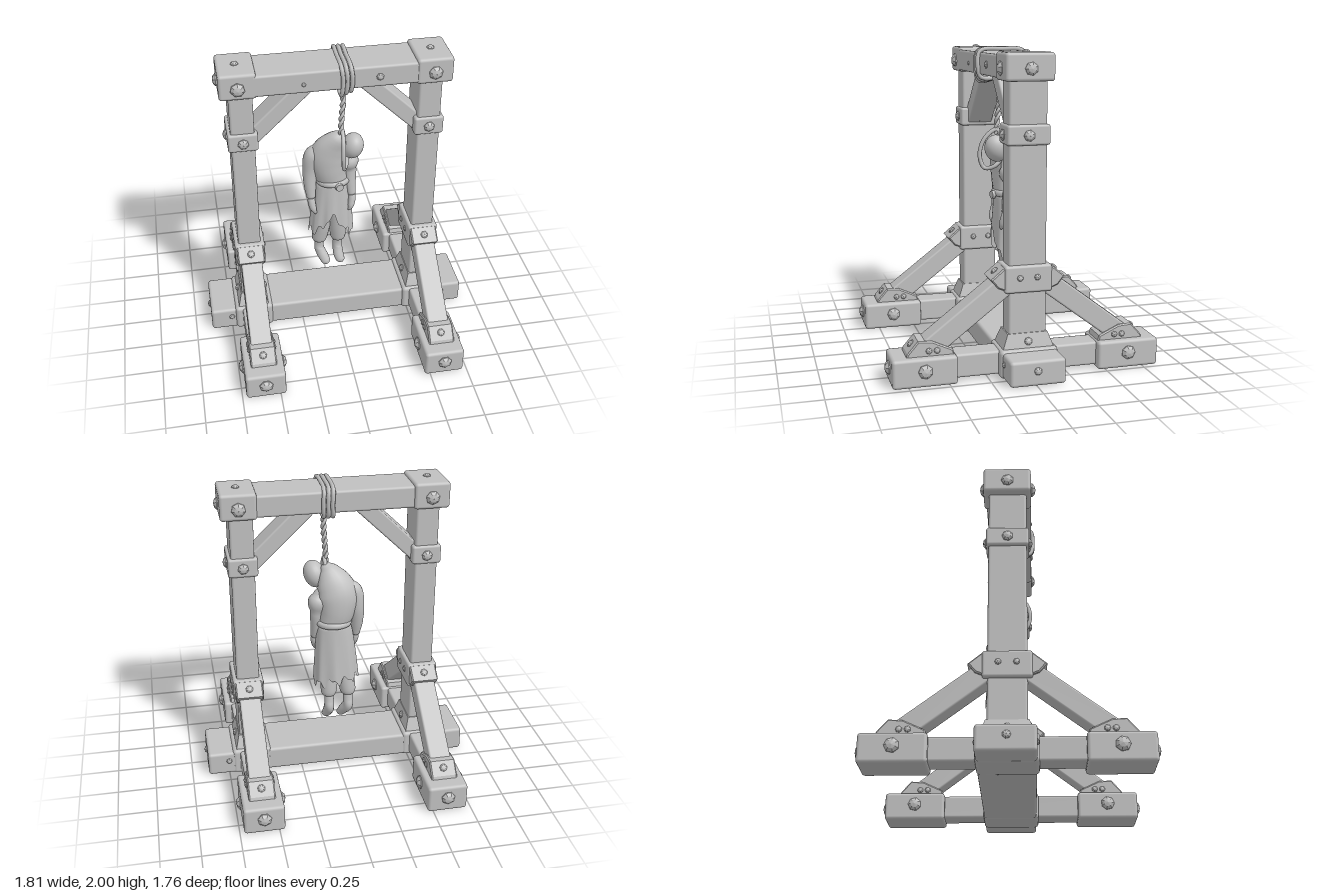
import * as THREE from 'three';
import { RoundedBoxGeometry } from 'three/addons/geometries/RoundedBoxGeometry.js';
import { ParametricGeometry } from 'three/addons/geometries/ParametricGeometry.js';

const grey = new THREE.MeshStandardMaterial({ color: 0xc0c0c0, side: THREE.DoubleSide });
const V = (x, y, z) => new THREE.Vector3(x, y, z);

function add(parent, name, geometry, x = 0, y = 0, z = 0) {
  const mesh = new THREE.Mesh(geometry, grey);
  mesh.name = name;
  mesh.position.set(x, y, z);
  parent.add(mesh);
  return mesh;
}

// Softly bevelled block given by its extents
function block(parent, name, x0, x1, y0, y1, z0, z1, bevel = 0.016) {
  const g = new RoundedBoxGeometry(x1 - x0, y1 - y0, z1 - z0, 2, bevel);
  return add(parent, name, g, (x0 + x1) / 2, (y0 + y1) / 2, (z0 + z1) / 2);
}

// Faceted bolt head pointing along a direction
function stud(parent, x, y, z, dir, r) {
  const profile = [[r, -0.006], [r, 0.15 * r], [0.6 * r, 0.5 * r], [0.001, 0.62 * r]];
  const g = new THREE.LatheGeometry(profile.map(p => new THREE.Vector2(...p)), 7).toNonIndexed();
  g.computeVertexNormals();
  add(parent, 'bolt', g, x, y, z).quaternion.setFromUnitVectors(V(0, 1, 0), dir.clone().normalize());
}

// Smooth closed body through stations [x, y, z, radiusX, radiusZ], running downwards
function loft(parent, name, stations, sides = 20, steps = 24) {
  const path = new THREE.CatmullRomCurve3(stations.map(s => V(s[0], s[1], s[2])));
  const radii = new THREE.CatmullRomCurve3(stations.map(s => V(s[3], s[4] ?? s[3], 0)));
  const pos = [], index = [];
  for (let i = 0; i <= steps; i++) {
    const k = i / steps, p = path.getPoint(k), t = path.getTangent(k), r = radii.getPoint(k);
    const a = V(1, 0, 0).addScaledVector(t, -t.x).normalize();
    const b = t.clone().cross(a);
    for (let j = 0; j < sides; j++) {
      const q = j / sides * Math.PI * 2;
      const v = p.clone().addScaledVector(a, Math.cos(q) * r.x).addScaledVector(b, Math.sin(q) * r.y);
      pos.push(v.x, v.y, v.z);
      const n = (j + 1) % sides, o = i * sides;
      if (i < steps) index.push(o + j, o + n, o + sides + j, o + n, o + sides + n, o + sides + j);
    }
  }
  const last = steps * sides, c = pos.length / 3;
  pos.push(...path.getPoint(0).toArray(), ...path.getPoint(1).toArray());
  for (let j = 0; j < sides; j++) {
    const n = (j + 1) % sides;
    index.push(c, n, j, c + 1, last + j, last + n);
  }
  const g = new THREE.BufferGeometry();
  g.setAttribute('position', new THREE.Float32BufferAttribute(pos, 3));
  g.setIndex(index);
  g.computeVertexNormals();
  return add(parent, name, g);
}

function tube(parent, name, pts, r, closed = false, steps = 60) {
  const curve = new THREE.CatmullRomCurve3(pts.map(p => V(...p)), closed);
  return add(parent, name, new THREE.TubeGeometry(curve, steps, r, 8, closed));
}

// Profile in (z, y) extruded across x
function sidePlate(parent, name, points, width) {
  const shape = new THREE.Shape(points.map(([z, y]) => new THREE.Vector2(-z, y)));
  const bevel = 0.008;
  const g = new THREE.ExtrudeGeometry(shape, { depth: width - 2 * bevel, bevelThickness: bevel, bevelSize: bevel, bevelOffset: -bevel, bevelSegments: 1 });
  g.translate(0, 0, -width / 2 + bevel).rotateY(Math.PI / 2);
  return add(parent, name, g);
}

// One half of a foot: end cap, diagonal brace and its fittings, facing +z
function makeFoot() {
  const g = new THREE.Group();
  g.name = 'foot';
  block(g, 'footCap', -0.13, 0.13, 0, 0.18, 0.45, 0.85, 0.02);
  const y0 = 0.62, z0 = 0.08, y1 = 0.2, z1 = 0.63;
  const brace = add(g, 'footBrace', new RoundedBoxGeometry(0.14, 0.13, Math.hypot(y1 - y0, z1 - z0), 2, 0.012), 0, (y0 + y1) / 2, (z0 + z1) / 2);
  brace.rotation.x = Math.atan2(y0 - y1, z1 - z0);
  sidePlate(g, 'braceShoe', [[0.46, 0.17], [0.76, 0.17], [0.75, 0.2], [0.685, 0.275], [0.6, 0.27], [0.47, 0.21]], 0.17);
  sidePlate(g, 'braceHook', [[0.1, 0.69], [0.15, 0.69], [0.235, 0.62], [0.19, 0.565], [0.1, 0.53]], 0.18);
  stud(g, 0, 0.1, 0.85, V(0, 0, 1), 0.045);
  stud(g, 0, 0.24, 0.715, V(0, 0.65, 0.75), 0.025);
  stud(g, 0, 0.657, 0.19, V(0, 0.75, 0.65), 0.025);
  for (const s of [-1, 1]) {
    stud(g, s * 0.13, 0.1, 0.65, V(s, 0, 0), 0.045);
    for (const z of [0.57, 0.62]) stud(g, s * 0.085, 0.212, z, V(s, 0, 0), 0.02);
  }
  return g;
}

// Upright with its foot beam and iron collars
function makeUpright() {
  const g = new THREE.Group();
  g.name = 'upright';
  block(g, 'post', -0.075, 0.075, 0.1, 1.88, -0.12, 0.12);
  block(g, 'footBeam', -0.08, 0.08, 0.02, 0.17, -0.6, 0.6);
  block(g, 'baseJoint', -0.13, 0.13, 0, 0.18, -0.185, 0.185, 0.025);
  const flare = new THREE.BoxGeometry(0.21, 0.1, 0.33), p = flare.attributes.position;
  for (let i = 0; i < p.count; i++) if (p.getY(i) > 0) p.setXYZ(i, p.getX(i) * 0.76, p.getY(i), p.getZ(i) * 0.77);
  flare.computeVertexNormals();
  add(g, 'postFlare', flare, 0, 0.22, 0);
  block(g, 'lowerCollar', -0.1, 0.1, 0.53, 0.7, -0.15, 0.15);
  block(g, 'upperCollar', -0.095, 0.095, 1.43, 1.555, -0.135, 0.135);
  block(g, 'beamCap', -0.1, 0.13, 1.81, 1.98, -0.15, 0.155, 0.02);
  const back = makeFoot();
  back.rotation.y = Math.PI;
  g.add(makeFoot(), back);
  for (const s of [-1, 1]) {
    stud(g, 0.015, 1.885, s * 0.152, V(0, 0, s), 0.045);
    stud(g, 0, 1.49, s * 0.135, V(0, 0, s), 0.035);
    stud(g, s * 0.095, 1.49, 0, V(s, 0, 0), 0.035);
    stud(g, s * 0.095, 0.22, 0, V(s, 0.3, 0), 0.025);
    for (const z of [-0.055, 0.055]) stud(g, s * 0.1, 0.625, z, V(s, 0, 0), 0.02);
  }
  stud(g, 0.13, 1.885, 0, V(1, 0, 0), 0.04);
  stud(g, 0.015, 1.98, 0, V(0, 1, 0), 0.025);
  return g;
}

function makeFrame() {
  const g = new THREE.Group();
  g.name = 'frame';
  block(g, 'baseBeam', -0.89, 0.89, 0.005, 0.165, -0.18, 0.17, 0.02);
  block(g, 'topBeam', -0.69, 0.7, 1.82, 1.962, -0.14, 0.15);
  for (const s of [-1, 1]) {
    const upright = makeUpright();
    upright.position.x = s * 0.593;
    if (s < 0) upright.rotation.y = Math.PI;
    g.add(upright);
    const knee = add(g, 'kneeBrace', new RoundedBoxGeometry(0.52, 0.105, 0.17, 2, 0.012), s * 0.36, 1.66, 0);
    knee.rotation.z = -s * 0.77;
    stud(g, s * 0.89, 0.1, 0, V(s, 0, 0), 0.025);
    stud(g, s * 0.75, 0.105, 0.17, V(0, 0, 1), 0.02);
    stud(g, s * 0.75, 0.105, -0.18, V(0, 0, -1), 0.02);
  }
  stud(g, 0.26, 1.89, 0.15, V(0, 0, 1), 0.024);
  stud(g, -0.21, 1.88, 0.15, V(0, 0, 1), 0.014);
  return g;
}

function makeRope() {
  const g = new THREE.Group();
  g.name = 'rope';
  // Turns around the beam
  [0.022, 0.05, 0.08].forEach((x, i) => {
    const b = 1.78 + 0.012 * i;
    tube(g, 'ropeTurn', [[x, b, 0.14], [x + 0.008, 1.88, 0.163], [x, 1.97, 0.145], [x - 0.004, 1.983, 0], [x, 1.97, -0.14], [x + 0.006, 1.88, -0.155], [x, 1.8, -0.13], [x, 1.8, 0]], 0.014, true);
  });
  // Two twisted strands
  for (const s of [0, Math.PI]) {
    const pts = [];
    for (let i = 0; i <= 40; i++) {
      const k = i / 40, q = k * 26 + s;
      pts.push([0.05 + 0.009 * Math.cos(q) + 0.008 * Math.sin(k * 5), 1.83 - 0.4 * k, 0.03 * k + 0.009 * Math.sin(q)]);
    }
    tube(g, 'ropeStrand', pts, 0.011, false, 120);
  }
  tube(g, 'ropeLoop', [[0.05, 1.46, 0.03], [0.045, 1.4, 0.11], [0.04, 1.29, 0.14], [0.05, 1.21, 0.11], [0.08, 1.23, 0.04], [0.06, 1.33, -0.02], [0.05, 1.41, -0.005]], 0.014, true);
  return g;
}

function makeFigure() {
  const g = new THREE.Group();
  g.name = 'figure';
  loft(g, 'torso', [[0.06, 1.42, 0.01, 0.02], [0.035, 1.385, 0, 0.065, 0.055], [0, 1.31, -0.03, 0.115, 0.08], [-0.025, 1.22, -0.05, 0.135, 0.095], [-0.018, 1.12, -0.055, 0.12, 0.095], [0, 1.03, -0.055, 0.105, 0.085], [0, 0.95, -0.055, 0.1, 0.08]]);
  const head = add(g, 'head', new THREE.SphereGeometry(1, 24, 16), 0.115, 1.345, 0.045);
  head.scale.set(0.07, 0.092, 0.08);
  head.rotation.set(0.4, 0, -0.25);
  // Arms and hands
  loft(g, 'arm', [[-0.08, 1.31, -0.04, 0.025], [-0.135, 1.24, -0.045, 0.055], [-0.152, 1.12, -0.05, 0.05], [-0.155, 1.0, -0.035, 0.04], [-0.15, 0.92, -0.02, 0.03]]);
  loft(g, 'arm', [[0.06, 1.28, -0.03, 0.025], [0.095, 1.22, -0.035, 0.045], [0.115, 1.12, -0.045, 0.045], [0.118, 1.0, -0.03, 0.037], [0.125, 0.92, -0.015, 0.028]]);
  for (const [x, s] of [[-0.15, 1], [0.127, -1]])
    loft(g, 'hand', [[x, 0.95, -0.02, 0.018], [x, 0.89, -0.01, 0.026, 0.03], [x + s * 0.01, 0.84, 0.005, 0.022, 0.026], [x + s * 0.025, 0.805, 0.012, 0.008]], 12, 12);
  // Belt and buckle
  const belt = add(g, 'belt', new THREE.TorusGeometry(0.102, 0.018, 8, 32).rotateX(Math.PI / 2), 0.003, 1.035, -0.055);
  belt.scale.set(1, 1.2, 0.86);
  const buckle = add(g, 'buckle', new THREE.CylinderGeometry(0.026, 0.028, 0.02, 14).rotateX(Math.PI / 2), 0.03, 1.025, 0.05);
  buckle.rotation.y = 0.2;
  // Torn coat skirt, split at the front
  add(g, 'coatSkirt', new ParametricGeometry((u, v, out) => {
    const q = u * Math.PI * 2, front = Math.max(0, Math.sin(q)) ** 6;
    const hem = 0.63 + 0.14 * front + 0.025 * Math.sin(9 * q) + 0.015 * Math.sin(17 * q + 1) - 0.03 * Math.max(0, Math.cos(q));
    const fold = 1 + 0.045 * v * Math.sin(8 * q + 0.5);
    out.set(-0.012 * v + Math.cos(q) * (0.1 + 0.05 * Math.sqrt(v)) * fold, 1.03 + (hem - 1.03) * v, -0.055 + Math.sin(q) * (0.083 + 0.017 * v) * fold);
  }, 72, 12));
  // Breeches and boots
  for (const [x, dx, s, y] of [[-0.075, -0.012, 1, 0], [0.04, 0.004, 0.6, 0]]) {
    loft(g, 'breeches', [[x, 0.88, -0.06, 0.05], [x, 0.75, -0.065, 0.062], [x, 0.63, -0.075, 0.06], [x + dx, 0.53, -0.085, 0.054], [x + dx, 0.505, -0.085, 0.045], [x + dx, 0.495, -0.085, 0.025]]);
    loft(g, 'boot', [[x + dx, 0.53, -0.09, 0.03], [x + dx, 0.46, -0.1, 0.033], [x + dx, 0.415, -0.1, 0.034, 0.044], [x + 0.01 * s, 0.365, -0.07, 0.036, 0.034], [x + 0.03 * s, 0.325, -0.045, 0.03, 0.025], [x + 0.036 * s, 0.312, -0.035, 0.012]], 16, 20);
  }
  return g;
}

export function createModel() {
  const model = new THREE.Group();
  model.name = 'gallows';
  model.add(makeFrame(), makeRope(), makeFigure());
  return model;
}
